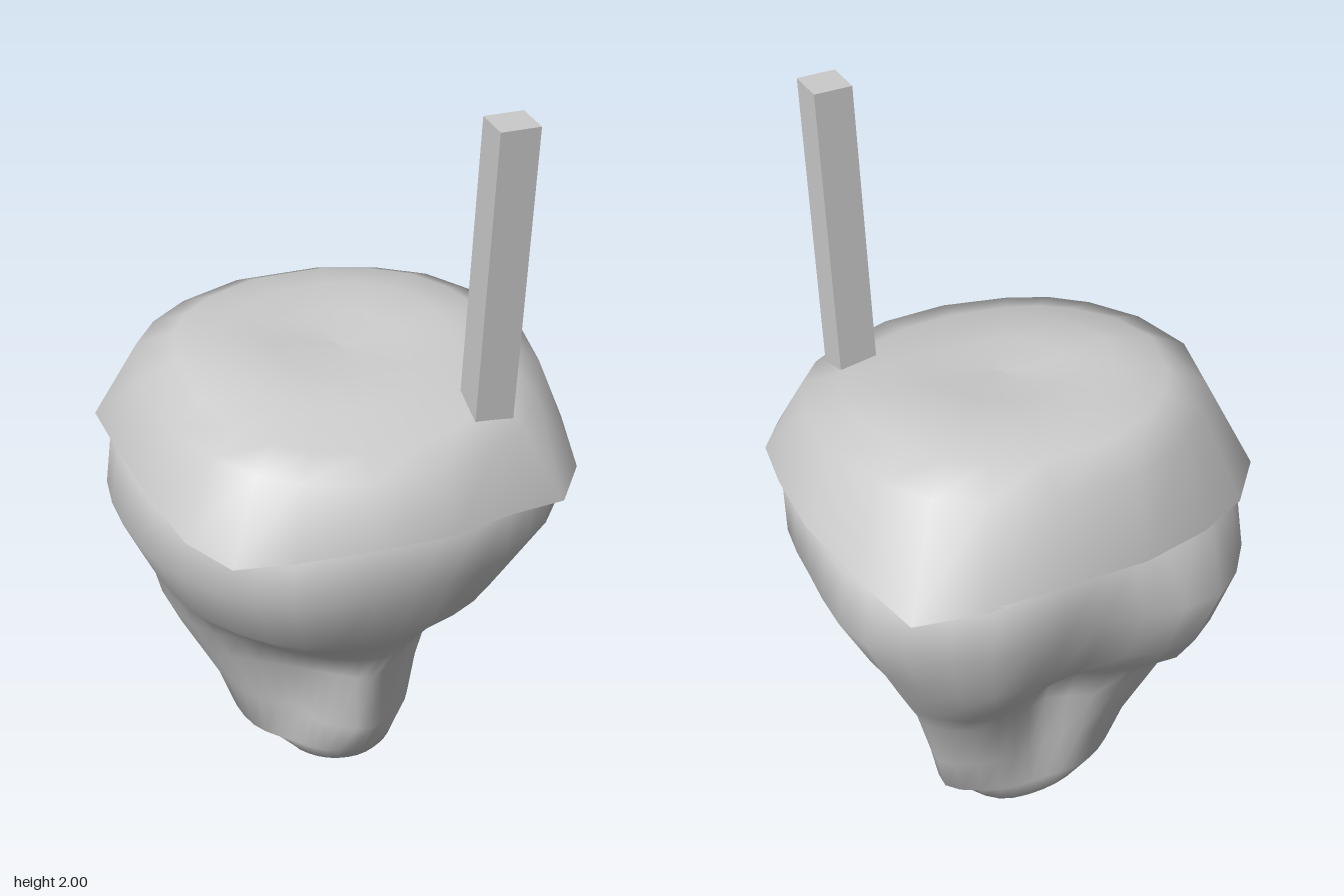
import * as THREE from 'three';

const material = new THREE.MeshStandardMaterial({ color: 0xcccccc });

// Skin a stack of closed rings of [x, y, z]; seen from above the rings run counter-clockwise
function loft(name, rings) {
  const n = rings[0].length, index = [];
  for (let r = 0; r < rings.length - 1; r++) {
    for (let i = 0; i < n; i++) {
      const a = r * n + i, b = r * n + (i + 1) % n;
      index.push(a, b, b + n, a, b + n, a + n);
    }
  }
  const geometry = new THREE.BufferGeometry();
  geometry.setAttribute('position', new THREE.Float32BufferAttribute(rings.flat(2), 3));
  geometry.setIndex(index);
  geometry.computeVertexNormals();
  const mesh = new THREE.Mesh(geometry, material);
  mesh.name = name;
  return mesh;
}

// Ring at height y through radii given every 30 degrees, from the front towards +x
function radialRing(y, radii) {
  const points = radii.map((r, i) => {
    const t = (i / radii.length) * Math.PI * 2;
    return new THREE.Vector3(r * Math.sin(t), y, r * Math.cos(t));
  });
  const curve = new THREE.CatmullRomCurve3(points, true, 'catmullrom', 0.5);
  const n = radii.length * 3;
  return Array.from({ length: n }, (_, i) => curve.getPoint(i / n).toArray());
}

// Apple: three lobes at the foot (front and both back corners) swelling into broad shoulders
function makeApple() {
  const sections = [
    [0.035, [0.16, 0.15, 0.15, 0.16, 0.22, 0.25, 0.24, 0.24, 0.22, 0.165, 0.165, 0.165]],
    [0.09, [0.20, 0.175, 0.17, 0.21, 0.30, 0.27, 0.25, 0.28, 0.30, 0.25, 0.20, 0.20]],
    [0.21, [0.27, 0.20, 0.17, 0.23, 0.335, 0.29, 0.24, 0.30, 0.35, 0.28, 0.195, 0.23]],
    [0.38, [0.27, 0.21, 0.20, 0.28, 0.39, 0.34, 0.25, 0.36, 0.45, 0.37, 0.25, 0.23]],
    [0.48, [0.32, 0.29, 0.29, 0.34, 0.45, 0.42, 0.28, 0.41, 0.50, 0.42, 0.31, 0.30]],
    [0.58, [0.40, 0.37, 0.37, 0.39, 0.505, 0.50, 0.40, 0.54, 0.53, 0.46, 0.42, 0.42]],
    [0.66, [0.48, 0.46, 0.45, 0.455, 0.55, 0.54, 0.46, 0.59, 0.57, 0.51, 0.51, 0.51]],
    [0.84, [0.55, 0.56, 0.58, 0.565, 0.645, 0.61, 0.53, 0.655, 0.63, 0.595, 0.60, 0.60]],
    [1.0, [0.55, 0.57, 0.59, 0.56, 0.62, 0.60, 0.52, 0.56, 0.61, 0.57, 0.60, 0.59]],
  ];
  const shoulder = sections[sections.length - 1][1];
  const even = r => Array(12).fill(r);
  const rings = [
    radialRing(0, even(0.002)).map(([x, y, z]) => [x, y, z - 0.06]),
    radialRing(0.006, even(0.12)).map(([x, y, z]) => [x, y, z - 0.05]),
    ...sections.map(([y, radii]) => radialRing(y, radii)),
    radialRing(1.12, shoulder.map(r => r * 0.78)),
    radialRing(1.15, even(0.002)),
  ];
  return loft('apple', rings);
}

// Coating cap: rounded-square rim, [x, z]
const rim = [
  [-0.45, 0.5], [-0.3, 0.54], [-0.1, 0.58], [0.1, 0.58], [0.28, 0.52],
  [0.43, 0.49], [0.52, 0.37], [0.565, 0.17], [0.59, -0.06], [0.55, -0.28],
  [0.5, -0.47], [0.32, -0.52], [0.13, -0.54], [-0.12, -0.545], [-0.32, -0.49],
  [-0.47, -0.42], [-0.58, -0.3], [-0.59, -0.06], [-0.57, 0.17], [-0.53, 0.37],
];

function makeCoating() {
  // Rim dips at the corners
  const rimY = (x, z) => 1.05 - 0.03 * (z / 0.58) ** 2 - 0.045 * Math.abs(x * z) / 0.21;
  const edge = rim.map(([x, z]) => [x, rimY(x, z), z]);
  // Scale, height, and how far the front droops; the square rim rounds off into a circular dome
  const upper = [
    [0.89, 1.235, 0.12], [0.72, 1.282, 0.19], [0.5, 1.303, 0.17],
    [0.28, 1.29, 0.1], [0.002, 1.275, 0],
  ].map(([s, y, droop]) => rim.map(([x, z]) => {
    const f = s * THREE.MathUtils.lerp(1, 0.585 / Math.hypot(x, z), 0.85);
    const zz = z * f + 0.025;
    return [x * f - 0.01, y - droop * Math.max(zz, 0), zz];
  }));
  const inner = rim.map(([x, z]) => [x * 0.86, rimY(x, z) + 0.03, z * 0.86]);

  const group = new THREE.Group();
  group.name = 'coating';
  group.add(loft('coatingTop', [edge, ...upper]), loft('coatingUnderside', [inner, edge]));
  return group;
}

// Square stick, leaning slightly forward
function makeStick() {
  const bottom = 1.12, top = 2;
  const geometry = new THREE.BoxGeometry(0.103, top - bottom, 0.103);
  geometry.applyMatrix4(new THREE.Matrix4().set(
    1, 0.018, 0, 0,
    0, 1, 0, 0,
    0, 0.067, 1, 0,
    0, 0, 0, 1));
  geometry.computeVertexNormals();
  const stick = new THREE.Mesh(geometry, material);
  stick.position.set(0.277, (top + bottom) / 2, 0.37);
  stick.name = 'stick';
  return stick;
}

export function createModel() {
  const model = new THREE.Group();
  model.name = 'dippedApple';
  model.add(makeApple(), makeCoating(), makeStick());
  return model;
}
